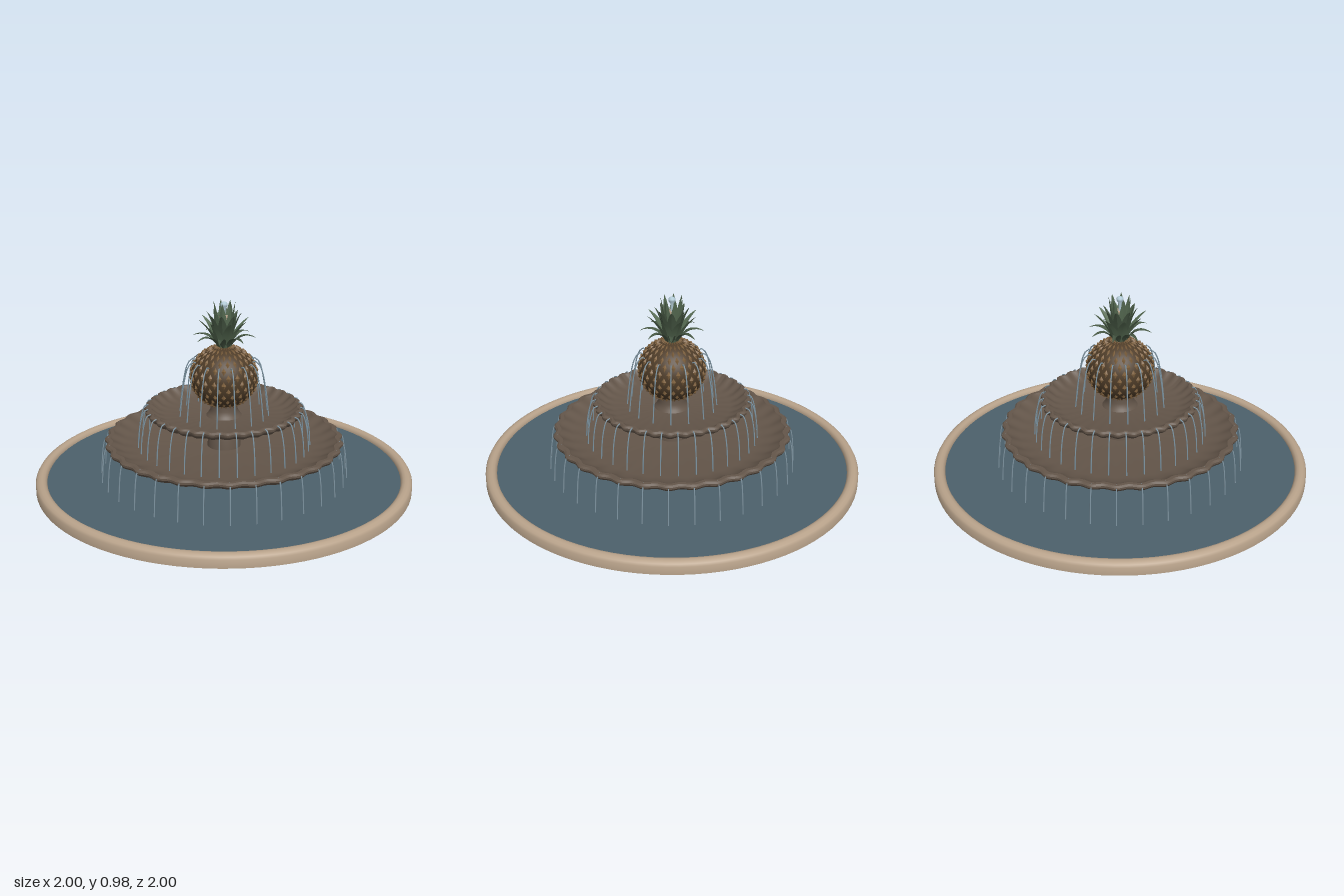
import * as THREE from 'three';
import { mergeGeometries, toCreasedNormals } from 'three/addons/utils/BufferGeometryUtils.js';

const mat = (name, color, side = THREE.FrontSide) => {
  const m = new THREE.MeshStandardMaterial({ color, side });
  m.name = name;
  return m;
};
const V = (x, y, z = 0) => new THREE.Vector3(x, y, z);

export function createModel() {
  const root = new THREE.Group();
  root.name = 'fountain';
  const rimStone = mat('pale stone', 0xb8a28a);
  const stone = mat('brown stone', 0x64564a);
  const water = mat('pool water', 0x4c606b);
  const jet = mat('falling water', 0x8299a6);
  const foam = mat('bright spray', 0xb4cdd8);
  const skin = mat('fruit skin', 0x4e3c28);
  const scale = mat('fruit scales', 0x80623f);
  const leaf = mat('leaf green', 0x566b52, THREE.DoubleSide);
  const darkLeaf = mat('dark leaf green', 0x465743, THREE.DoubleSide);

  const add = (name, geo, m) => {
    const mesh = new THREE.Mesh(geo, m);
    mesh.name = name;
    root.add(mesh);
    return mesh;
  };
  const lathe = (pts, seg = 64) =>
    new THREE.LatheGeometry(pts.map(([r, y]) => new THREE.Vector2(r, y)), seg);

  // Pool: rounded stone rim around a disc of water
  add('poolRim', toCreasedNormals(lathe([
    [0.94, 0], [1, 0], [1, 0.042], [0.993, 0.054], [0.98, 0.062], [0.965, 0.065],
    [0.952, 0.061], [0.943, 0.052], [0.94, 0.04], [0.94, 0],
  ], 96), 0.7), rimStone);
  add('poolWater', new THREE.CylinderGeometry(0.945, 0.945, 0.02, 96).translate(0, 0.03, 0), water);

  // Stems
  add('lowerStem', toCreasedNormals(lathe([
    [0, 0.005], [0.143, 0.005], [0.143, 0.06], [0.128, 0.072], [0.108, 0.085], [0.096, 0.105],
    [0.096, 0.125], [0.108, 0.14], [0.13, 0.16],
  ], 48), 0.7), stone);
  add('upperStem', lathe([[0.09, 0.17], [0.085, 0.24], [0.075, 0.26], [0.073, 0.29], [0.08, 0.31], [0.1, 0.34]], 48), stone);
  add('fruitStand', lathe([[0.1, 0.355], [0.085, 0.375], [0.07, 0.4], [0.075, 0.44]], 48), stone);

  // Fluted bowl: lathe whose radius ripples more strongly towards its lip
  const bowl = (name, R, floorR, base, top, lipIn) => {
    const g = lathe([
      [0, base], [R * 0.3, base], [R * 0.55, base + 0.012], [R * 0.8, base + 0.032], [R * 0.94, base + 0.054],
      [R * 0.985, base + 0.068], [R, top - 0.018], [R, top - 0.008], [R - 0.01, top],
      [lipIn + 0.008, top], [lipIn, top - 0.008],
      [(lipIn + floorR) / 2, top - 0.036], [floorR, top - 0.048], [0, top - 0.053],
    ], 256);
    const p = g.attributes.position;
    for (let i = 0; i < p.count; i++) {
      const x = p.getX(i), z = p.getZ(i), r = Math.hypot(x, z);
      const w = THREE.MathUtils.smoothstep(r, floorR * 0.85, lipIn);
      const k = 1 + (0.008 / R) * w * Math.cos(32 * Math.atan2(x, z));
      p.setX(i, x * k);
      p.setZ(i, z * k);
    }
    add(name, toCreasedNormals(g, 0.6), stone);
  };
  bowl('lowerBowl', 0.625, 0.47, 0.147, 0.245, 0.588);
  bowl('upperBowl', 0.41, 0.31, 0.32, 0.415, 0.382);

  // Ring of water jets, each an arc repeated around the axis
  const jets = (name, n, offset, points, radius) => {
    const arc = new THREE.TubeGeometry(new THREE.CatmullRomCurve3(points), 12, radius, 5);
    const all = [];
    for (let i = 0; i < n; i++) all.push(arc.clone().rotateY(((i + offset) / n) * Math.PI * 2));
    add(name, mergeGeometries(all), jet);
  };
  jets('lowerJets', 32, 0, [V(0.61, 0.243), V(0.63, 0.235), V(0.643, 0.19), V(0.651, 0.12), V(0.657, 0.04)], 0.0035);
  jets('upperJets', 32, 0.5, [V(0.4, 0.412), V(0.42, 0.404), V(0.437, 0.36), V(0.45, 0.29), V(0.457, 0.2)], 0.0035);
  jets('fruitJets', 16, 0, [V(0.14, 0.655), V(0.167, 0.667), V(0.193, 0.635), V(0.218, 0.53), V(0.237, 0.37)], 0.0035);

  // Fruit body covered in staggered pyramid scales
  const A = 0.174, B = 0.163, CY = 0.578;
  add('fruitBody', new THREE.SphereGeometry(1, 40, 28).scale(A, B, A).translate(0, CY, 0), skin);
  const scales = [], rows = 14, around = 22, dummy = new THREE.Object3D();
  for (let j = 1; j < rows; j++) {
    const t = (j / rows) * Math.PI, s = Math.sin(t), c = Math.cos(t);
    const halfW = (Math.PI * A * s) / around, halfH = (Math.PI * B) / rows;
    const cone = new THREE.ConeGeometry(1, 1, 4, 1, true).rotateX(Math.PI / 2)
      .scale(halfW * 0.97, halfH * 0.97, 0.019).toNonIndexed();
    cone.computeVertexNormals();
    for (let i = 0; i < around; i++) {
      const a = ((i + (j % 2) / 2) / around) * Math.PI * 2;
      dummy.position.set(A * s * Math.sin(a), CY + B * c, A * s * Math.cos(a));
      dummy.lookAt(dummy.position.clone().add(V((s * Math.sin(a)) / A, c / B, (s * Math.cos(a)) / A)));
      dummy.updateMatrix();
      scales.push(cone.clone().applyMatrix4(dummy.matrix));
    }
  }
  add('fruitScales', mergeGeometries(scales), scale);

  // Keeled leaf swept along a curve in the xy plane
  const leafGeo = (a, b, c, width) => {
    const curve = new THREE.QuadraticBezierCurve3(a, b, c), pos = [], idx = [], N = 8;
    for (let i = 0; i <= N; i++) {
      const t = i / N, p = curve.getPoint(t), d = curve.getTangent(t);
      const w = width * (t < 0.4 ? 0.65 + 0.875 * t : Math.pow((1 - t) / 0.6, 0.75));
      // Edges lift towards the inner side of the leaf
      const ex = p.x - d.y * w * 0.4, ey = p.y + d.x * w * 0.4;
      pos.push(ex, ey, -w, p.x, p.y, 0, ex, ey, w);
      if (i < N) for (const k of [0, 1]) {
        const o = i * 3 + k;
        idx.push(o, o + 1, o + 3, o + 1, o + 4, o + 3);
      }
    }
    const g = new THREE.BufferGeometry();
    g.setAttribute('position', new THREE.Float32BufferAttribute(pos, 3));
    g.setIndex(idx);
    return toCreasedNormals(g, 0.5);
  };
  const crown = (name, n, offset, geo, m) => {
    const all = [];
    for (let i = 0; i < n; i++) all.push(geo.clone().rotateY(((i + offset) / n) * Math.PI * 2));
    add(name, mergeGeometries(all), m);
  };
  crown('outerLeaves', 8, 0, leafGeo(V(0.03, 0.73), V(0.085, 0.83), V(0.168, 0.79), 0.02), darkLeaf);
  crown('middleLeaves', 8, 0.5, leafGeo(V(0.035, 0.735), V(0.07, 0.83), V(0.135, 0.89), 0.027), leaf);
  crown('innerLeaves', 8, 0, leafGeo(V(0.03, 0.74), V(0.06, 0.87), V(0.09, 0.92), 0.027), darkLeaf);
  crown('topLeaves', 7, 0.25, leafGeo(V(0.025, 0.74), V(0.05, 0.88), V(0.058, 0.975), 0.026), leaf);

  // Nozzle and spray in the heart of the crown
  add('nozzle', new THREE.CylinderGeometry(0.025, 0.035, 0.17, 16).translate(0, 0.815, 0), rimStone);
  add('spray', lathe([[0.008, 0.89], [0.009, 0.94], [0.018, 0.955], [0.019, 0.966], [0.01, 0.974], [0, 0.976]], 12), foam);

  return root;
}
